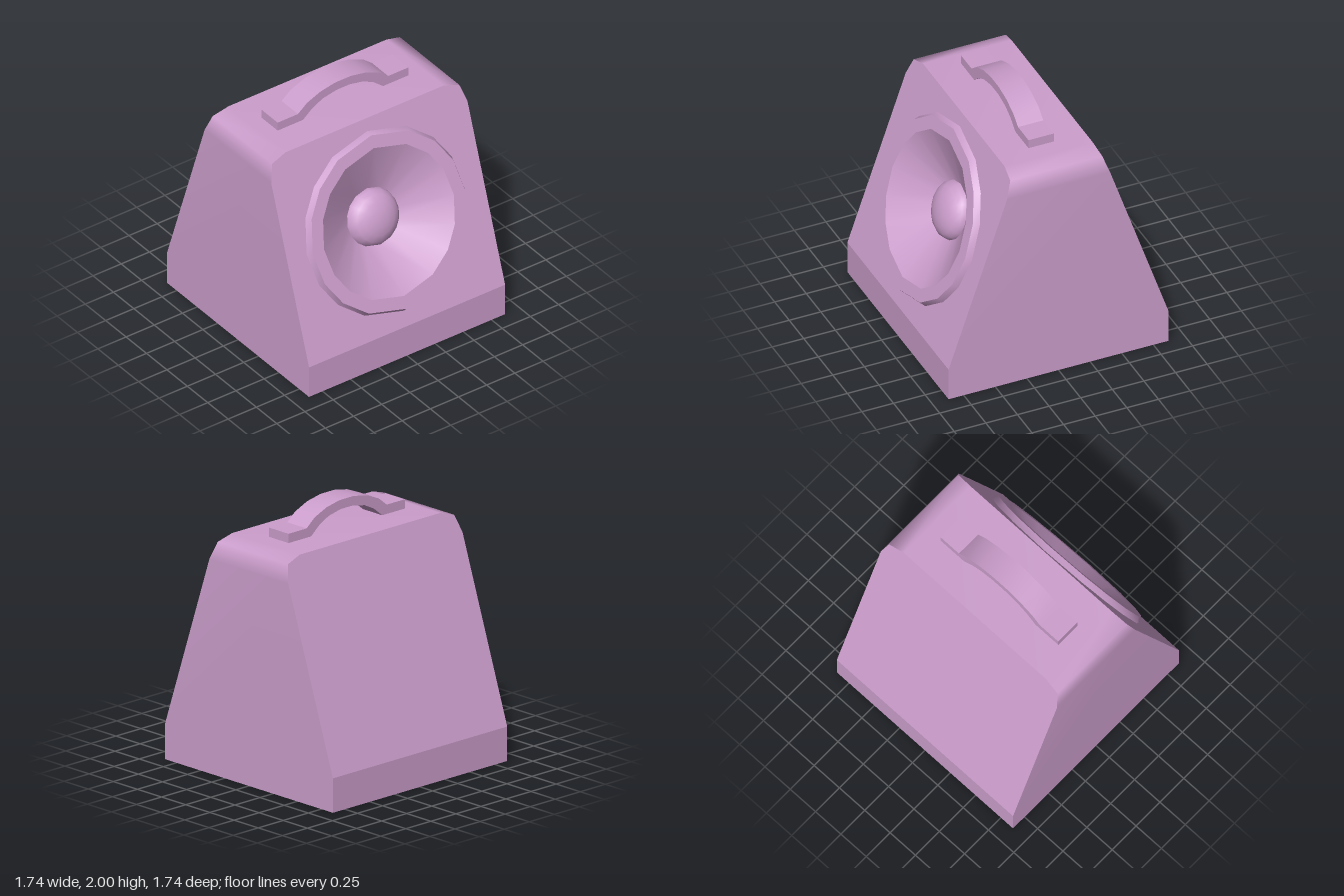
import * as THREE from 'three';
import { toCreasedNormals } from 'three/addons/utils/BufferGeometryUtils.js';

const SKIRT = 0.26, TOP = 1.79, BASE_Z = 0.87, TOP_Z = 0.35;
const tilt = Math.atan2(BASE_Z - TOP_Z, TOP - SKIRT);

// half depth of the cabinet at a given height: upright skirt, then tapering
const halfDepth = y => BASE_Z - Math.max(0, y - SKIRT) * Math.tan(tilt);

// slightly uneven sixteen-sided circle used by every speaker part
const half = [0, 28, 49, 68, 90, 112, 131, 152, 180];
const ANGLES = [...half, ...half.slice(0, -1).reverse().map(a => 360 - a)].map(THREE.MathUtils.degToRad);

const SPEAKER_Y = 1.037, SPEAKER_R = 0.7;

export function createModel() {
  const group = new THREE.Group();
  const material = new THREE.MeshStandardMaterial({ color: 0xcc9ecc, side: THREE.DoubleSide });
  const vec = ([x, y]) => new THREE.Vector2(x, y);

  function add(name, geometry) {
    const mesh = new THREE.Mesh(geometry, material);
    mesh.name = name;
    group.add(mesh);
    return mesh;
  }

  // front silhouette, from the bottom of one side over the top to the other
  const side = [[0.87, SKIRT], [0.87, 1.62], [0.83, 1.75], [0.7, TOP]];
  const outline = [...side, ...side.map(([x, y]) => [-x, y]).reverse()];

  // flat panel bent to the slope of the cabinet
  function panel(points, hole) {
    const shape = new THREE.Shape(points.map(vec));
    if (hole) shape.holes.push(new THREE.Path(hole.map(vec)));
    const geo = new THREE.ShapeGeometry(shape);
    const p = geo.attributes.position;
    for (let i = 0; i < p.count; i++) p.setZ(i, halfDepth(p.getY(i)));
    geo.computeVertexNormals();
    return geo;
  }
  const opening = ANGLES.slice(0, -1).map(a =>
    [SPEAKER_R * Math.sin(a), SPEAKER_Y + SPEAKER_R * Math.cos(tilt) * Math.cos(a)]);
  const skirt = [[-0.87, 0], [0.87, 0], [0.87, SKIRT], [-0.87, SKIRT]];
  add('frontPanel', panel(outline, opening));
  add('frontSkirt', panel(skirt));
  add('backPanel', panel(outline).rotateY(Math.PI));
  add('backSkirt', panel(skirt).rotateY(Math.PI));

  // sides and top as one smooth band, open underneath
  const loop = [[0.87, 0], ...outline, [-0.87, 0]];
  const positions = [], index = [];
  loop.forEach(([x, y], i) => {
    const z = halfDepth(y), a = i * 2;
    positions.push(x, y, z, x, y, -z);
    if (i < loop.length - 1) index.push(a, a + 1, a + 3, a, a + 3, a + 2);
  });
  const shell = new THREE.BufferGeometry();
  shell.setAttribute('position', new THREE.Float32BufferAttribute(positions, 3));
  shell.setIndex(index);
  shell.computeVertexNormals();
  add('sidesAndTop', shell);

  // round speaker parts, turned about the normal of the front panel
  function speakerPart(name, profile, crease) {
    const geo = new THREE.LatheGeometry(profile.map(vec), ANGLES.length - 1);
    const p = geo.attributes.position, n = profile.length;
    for (let i = 0; i < p.count; i++) {
      const [r, y] = profile[i % n], a = ANGLES[Math.floor(i / n)];
      p.setXYZ(i, r * Math.sin(a), y, r * Math.cos(a));
    }
    const mesh = add(name, toCreasedNormals(geo, crease));
    mesh.rotation.x = Math.PI / 2 - tilt;
    mesh.position.set(0, SPEAKER_Y, halfDepth(SPEAKER_Y));
  }
  speakerPart('speakerRim', [[SPEAKER_R, 0], [0.676, 0.045], [0.576, 0.045]], 0.5);
  speakerPart('speakerCone', [[0.576, 0.045], [0.22, -0.17]], 0.5);
  const dome = [];
  for (let i = 0; i <= 5; i++) {
    const a = i / 5 * Math.PI / 2;
    dome.push([0.22 * Math.cos(a), -0.17 + 0.115 * Math.sin(a)]);
  }
  speakerPart('speakerDome', dome, 1);

  // arched carrying handle with flat feet
  const outer = [[0.58, TOP], [0.58, 1.86], [0.4, 1.86], [0.32, 1.925], [0.2, 1.975], [0.07, 2]];
  const inner = [[0.06, 1.93], [0.18, 1.905], [0.27, 1.86], [0.355, TOP]];
  const mirror = pts => pts.map(([x, y]) => [-x, y]).reverse();
  const profile = [...outer, ...mirror(outer), ...mirror(inner), ...inner];
  const handle = new THREE.ExtrudeGeometry(new THREE.Shape(profile.map(vec)), { depth: 0.2, bevelEnabled: false });
  handle.translate(-0.01, 0, -0.1);
  add('handle', toCreasedNormals(handle, 0.5));

  return group;
}
